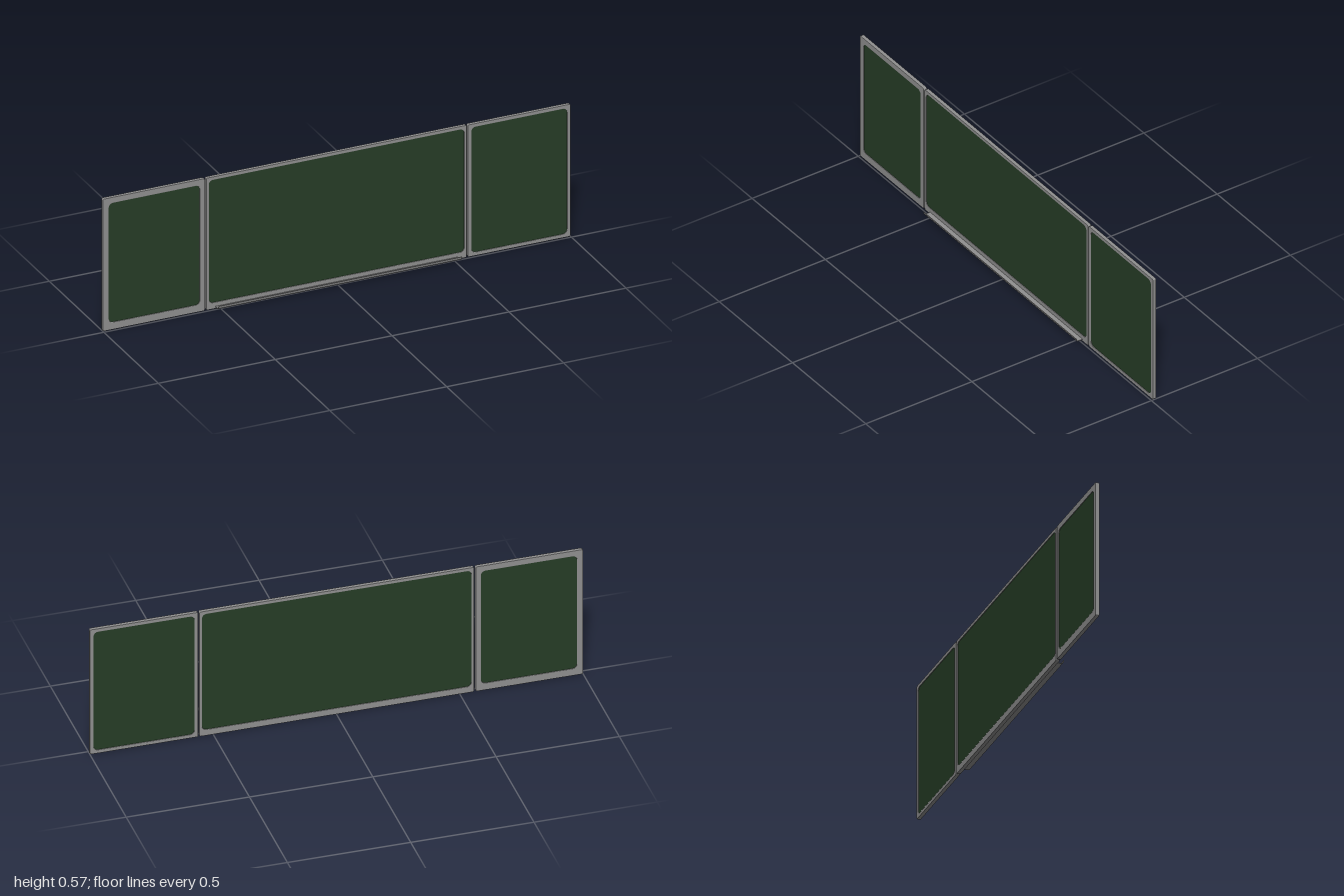
import * as THREE from 'three';

const BACK = -0.023, FRONT = -0.007, HEIGHT = 0.57;

// Traces a rounded rectangle onto a Shape or Path
function roundedRect(path, x0, y0, x1, y1, r) {
  path.moveTo(x0 + r, y0);
  path.lineTo(x1 - r, y0);
  path.absarc(x1 - r, y0 + r, r, -Math.PI / 2, 0);
  path.lineTo(x1, y1 - r);
  path.absarc(x1 - r, y1 - r, r, 0, Math.PI / 2);
  path.lineTo(x0 + r, y1);
  path.absarc(x0 + r, y1 - r, r, Math.PI / 2, Math.PI);
  path.lineTo(x0, y0 + r);
  path.absarc(x0 + r, y0 + r, r, Math.PI, Math.PI * 1.5);
  return path;
}

export function createModel() {
  const metal = new THREE.MeshStandardMaterial({ color: 0x909090 });
  metal.name = 'grey metal';
  const slate = new THREE.MeshStandardMaterial({ color: 0x263d26 });
  slate.name = 'dark green slate';

  const model = new THREE.Group();
  model.name = 'chalkboard';
  const add = (parent, name, geometry, material) => {
    const mesh = new THREE.Mesh(geometry, material);
    mesh.name = name;
    parent.add(mesh);
    return mesh;
  };

  // Each panel: outer x range and opening [x0, y0, x1, y1]
  const panels = [
    { name: 'rightPanel', x0: -1, x1: -0.564, hole: [-0.975, 0.032, -0.586, 0.545] },
    { name: 'centrePanel', x0: -0.558, x1: 0.556, hole: [-0.547, 0.028, 0.545, 0.556] },
    { name: 'leftPanel', x0: 0.561, x1: 1, hole: [0.576, 0.016, 0.985, 0.555] },
  ];
  for (const { name, x0, x1, hole } of panels) {
    const panel = new THREE.Group();
    panel.name = name;
    model.add(panel);

    // Frame with a rounded opening
    const bevel = 0.002;
    const outline = roundedRect(new THREE.Shape(), x0 + bevel, bevel, x1 - bevel, HEIGHT - bevel, 0.004);
    const [a, b, c, d] = hole;
    outline.holes.push(roundedRect(new THREE.Path(), a - bevel, b - bevel, c + bevel, d + bevel, 0.02));
    const frame = new THREE.ExtrudeGeometry(outline, {
      depth: FRONT - BACK - 2 * bevel, bevelThickness: bevel, bevelSize: bevel, bevelSegments: 2, curveSegments: 6,
    });
    frame.translate(0, 0, BACK + bevel);
    add(panel, 'frame', frame, metal);

    // Writing board set just inside the frame, front and back
    const board = new THREE.BoxGeometry(c - a + 0.006, d - b + 0.006, FRONT - BACK - 0.005);
    const slab = add(panel, 'writingBoard', board, slate);
    slab.position.set((a + c) / 2, (b + d) / 2, (FRONT + BACK) / 2);
  }

  // Chalk tray: flat shelf curling up to a lip, profile in (z, y)
  const profile = new THREE.Shape();
  profile.moveTo(-0.009, 0.0075);
  profile.lineTo(0.01, 0.0075);
  profile.bezierCurveTo(0.019, 0.0075, 0.0235, 0.014, 0.025, 0.024);
  profile.lineTo(0.0225, 0.0245);
  profile.bezierCurveTo(0.021, 0.016, 0.018, 0.0105, 0.01, 0.0105);
  profile.lineTo(-0.009, 0.0105);
  const length = 1.04;
  const tray = new THREE.ExtrudeGeometry(profile, { depth: length, bevelEnabled: false, curveSegments: 8 });
  tray.rotateY(-Math.PI / 2);
  tray.translate(length / 2, 0, 0);
  add(model, 'chalkTray', tray, metal);

  return model;
}
